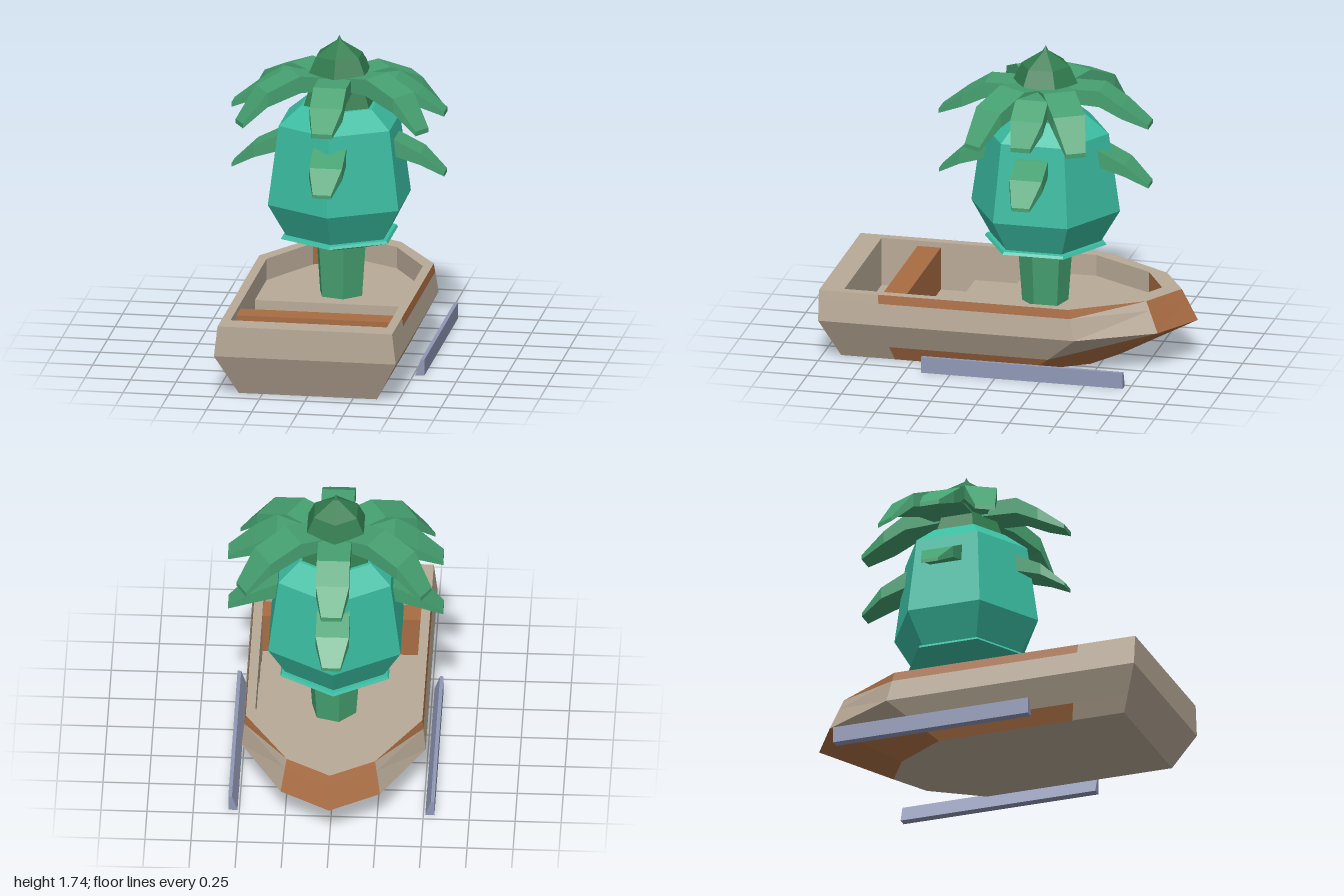
import * as THREE from 'three';

const mat = (name, color) => {
  const m = new THREE.MeshStandardMaterial({ color });
  m.name = name;
  return m;
};

// Faceted copy of a geometry
const facet = (g) => {
  const f = g.index ? g.toNonIndexed() : g;
  f.computeVertexNormals();
  return f;
};

// Geometry from a list of triangles (each three Vector3)
const fromTris = (tris) =>
  facet(new THREE.BufferGeometry().setFromPoints(tris.flat()));

const V = (x, y, z) => new THREE.Vector3(x, y, z);

export function createModel() {
  const group = new THREE.Group();
  const wood = mat('pale wood', 0xb9aa97);
  const plank = mat('brown wood', 0xa96d43);
  const metal = mat('rail grey', 0x9098b6);
  const teal = mat('fruit teal', 0x3abca1);
  const leafGreen = mat('leaf green', 0x46a070);
  const darkGreen = mat('crown green', 0x317c4e);

  const add = (name, geo, material, parent = group) => {
    const m = new THREE.Mesh(geo, material);
    m.name = name;
    parent.add(m);
    return m;
  };
  const box = (name, material, w, y0, y1, z0, z1) =>
    add(name, new THREE.BoxGeometry(w, y1 - y0, z1 - z0), material)
      .position.set(0, (y0 + y1) / 2, (z0 + z1) / 2);

  // Hull half-outlines [x, z], from middle of the square end to the pointed end
  const keel = [[0, .9], [.38, .9], [.38, .6], [.38, -.17], [.2, -.45], [0, -.57]];
  const belly = [[0, 1], [.5, 1], [.5, .66], [.5, -.43], [.27, -.84], [0, -1]];
  const rim = [[0, 1], [.48, 1], [.48, .67], [.48, -.39], [.24, -.77], [0, -.91]];
  const inner = [[0, .87], [.43, .87], [.43, .67], [.43, -.33], [.23, -.67], [0, -.8]];
  const mix = (a, b, t) => a.map((p, i) => [p[0] + (b[i][0] - p[0]) * t, p[1] + (b[i][1] - p[1]) * t]);
  const level = (outline, y) => outline.map(([x, z]) => V(x, y, z));
  const levels = [
    level(keel, 0), level(mix(keel, belly, .36), .083), level(belly, .23),
    level(mix(belly, rim, .7), .35), level(rim, .4),
  ];
  const rimIn = level(inner, .4), floor = level(inner, .13);

  const pale = [], brown = [];
  for (const s of [1, -1]) {
    const tri = (list, ...p) => {
      const q = p.map((v) => V(v.x * s, v.y, v.z));
      list.push(s > 0 ? q : q.reverse());
    };
    const quad = (list, a, b, c, d) => { tri(list, a, b, c); tri(list, a, c, d); };
    for (let i = 0; i < 5; i++) {
      const j = i + 1;
      // Outer strakes, painted by band
      for (let k = 0; k < 4; k++) {
        const lo = levels[k], up = levels[k + 1];
        const strip = k === 0 || k === 3;
        if (i === 3 && (k === 1 || k === 3)) {
          tri(k === 3 ? brown : pale, lo[i], up[j], up[i]);
          tri(k === 3 ? pale : brown, lo[i], lo[j], up[j]);
        } else {
          const isBrown = i === 4 || (strip && i >= 2);
          quad(isBrown ? brown : pale, lo[i], lo[j], up[j], up[i]);
        }
      }
      // Rim top, inner wall, underside and floor
      quad(pale, levels[4][i], levels[4][j], rimIn[j], rimIn[i]);
      quad(s < 0 && i === 4 ? brown : pale, rimIn[i], rimIn[j], floor[j], floor[i]);
      const k0 = levels[0];
      quad(pale, V(0, 0, k0[i].z), V(0, 0, k0[j].z), k0[j], k0[i]);
      quad(pale, floor[i], floor[j], V(0, .13, floor[j].z), V(0, .13, floor[i].z));
    }
  }
  add('hull', fromTris(pale), wood);
  add('hullPlanks', fromTris(brown), plank);

  // Raised deck, step and bench inside the boat
  const deckShape = new THREE.Shape([
    [-.43, -.06], [.43, -.06], [.43, .33], [.23, .67], [0, .8], [-.23, .67], [-.43, .33],
  ].map(([x, y]) => new THREE.Vector2(x, y)));
  const deck = new THREE.ExtrudeGeometry(deckShape, { depth: .15, bevelEnabled: false });
  deck.rotateX(-Math.PI / 2);
  add('deck', deck, wood).position.y = .13;
  box('step', wood, .86, .13, .2, .06, .35);
  box('bench', plank, .86, .13, .37, .54, .67);

  // Loose side rails
  for (const s of [1, -1]) {
    const shape = new THREE.Shape([[.51, 0], [.56, 0], [.56, .09], [.54, .09]]
      .map(([x, y]) => new THREE.Vector2(x * s, y)));
    const rail = new THREE.ExtrudeGeometry(shape, { depth: 1.125, bevelEnabled: false });
    add(s > 0 ? 'leftRail' : 'rightRail', rail, metal).position.z = -.715;
  }

  // Plant, standing on the deck
  const plant = new THREE.Group();
  plant.name = 'plant';
  plant.position.z = -.15;
  group.add(plant);
  const lathe = (pts) => facet(new THREE.LatheGeometry(pts.map(([r, y]) => new THREE.Vector2(r, y)), 6));
  const trunk = add('trunk', facet(new THREE.CylinderGeometry(.15, .125, .35, 6)), leafGreen, plant);
  trunk.position.set(.01, .445, 0);
  trunk.rotation.y = .25;
  add('fruit', lathe([[0, .6], [.31, .64], [.415, .82], [.352, 1.26], [.225, 1.36], [0, 1.37]]), teal, plant);
  add('fruitBase', lathe([[0, .57], [.17, .57], [.34, .62], [.33, .635], [0, .635]]), teal, plant);
  add('crown', lathe([[.21, 1.35], [.15, 1.53], [.18, 1.535], [.135, 1.63], [.015, 1.71], [0, 1.74]]), darkGreen, plant);

  // Leaf lofted from stations [radius, top, bottom, half width]
  const leafGeometry = (stations) => {
    const rings = stations.map(([r, t, b, w]) => [V(r, t, -w), V(r, t, w), V(r, b, w), V(r, b, -w)]);
    const tris = [];
    for (let j = 0; j < rings.length - 1; j++) {
      const p = rings[j], q = rings[j + 1];
      for (let i = 0; i < 4; i++) {
        const n = (i + 1) % 4;
        tris.push([p[i], p[n], q[n]], [p[i], q[n], q[i]]);
      }
    }
    const e = rings[rings.length - 1];
    tris.push([e[0], e[1], e[2]], [e[0], e[2], e[3]]);
    return fromTris(tris);
  };
  const leaves = (name, stations, degrees) => {
    const geo = leafGeometry(stations);
    for (const d of degrees) add(name, geo, leafGreen, plant).rotation.y = THREE.MathUtils.degToRad(d);
  };
  const square = [0, 90, 180, 270];
  leaves('upperLeaf', [[.1, 1.53, 1.45, .09], [.32, 1.53, 1.44, .09], [.445, 1.45, 1.38, .09], [.585, 1.345, 1.32, .055]], square);
  leaves('slantLeaf', [[.1, 1.53, 1.46, .09], [.26, 1.555, 1.46, .09], [.45, 1.48, 1.4, .09], [.58, 1.31, 1.285, .055]], [30, 150, 210, 330]);
  leaves('lowerLeaf', [[.26, 1.21, 1.12, .09], [.33, 1.18, 1.09, .09], [.46, 1.115, 1.05, .09], [.585, 1.0, .98, .05]], square);

  return group;
}
